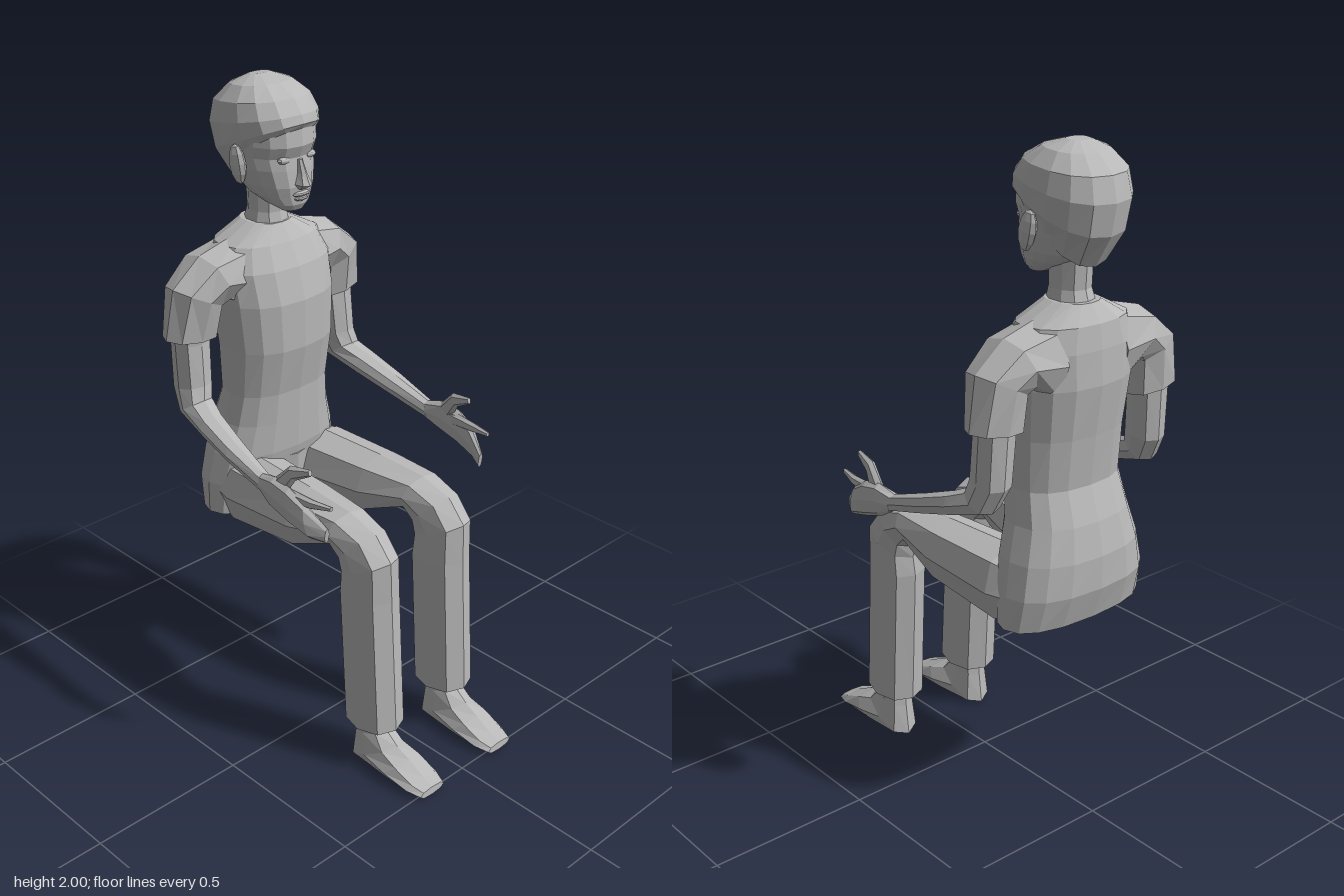
import * as THREE from 'three';

const grey = new THREE.MeshStandardMaterial({ color: 0xb8b8b8, flatShading: true });
grey.name = 'plain grey';

// Skin a closed surface over rings of points, wound outwards
function skin(name, rings) {
  const n = rings[0].length, pos = [], idx = [];
  rings.forEach(r => r.forEach(p => pos.push(p.x, p.y, p.z)));
  for (let i = 0; i < rings.length - 1; i++) {
    for (let j = 0; j < n; j++) {
      const a = i * n + j, b = i * n + (j + 1) % n;
      idx.push(a, b, b + n, a, b + n, a + n);
    }
  }
  const last = (rings.length - 1) * n;
  for (let j = 1; j < n - 1; j++) idx.push(0, j + 1, j, last, last + j, last + j + 1);
  const v = k => new THREE.Vector3().fromArray(pos, k * 3);
  let volume = 0;
  for (let i = 0; i < idx.length; i += 3) volume += v(idx[i]).dot(v(idx[i + 1]).cross(v(idx[i + 2])));
  if (volume < 0) idx.reverse();
  const g = new THREE.BufferGeometry();
  g.setAttribute('position', new THREE.Float32BufferAttribute(pos, 3));
  g.setIndex(idx);
  g.computeVertexNormals();
  const mesh = new THREE.Mesh(g, grey);
  mesh.name = name;
  return mesh;
}

// Rounded ring between edge points p and q, with half width vector w
function ring(p, q, w, sides, power) {
  const c = p.clone().add(q).multiplyScalar(0.5), u = p.clone().sub(c);
  const round = t => Math.sign(t) * Math.pow(Math.abs(t) < 1e-9 ? 0 : Math.abs(t), power);
  return Array.from({ length: sides }, (_, i) => {
    const a = i / sides * Math.PI * 2;
    return c.clone().addScaledVector(u, round(Math.cos(a))).addScaledVector(w, round(Math.sin(a)));
  });
}

const V = (x, y, z) => new THREE.Vector3(x, y, z);

// Sections: [x, halfWidth, yFront, zFront, yBack, zBack]
function loft(name, sections, side = 1, sides = 8, power = 0.85) {
  return skin(name, sections.map(([x, w, yf, zf, yb, zb]) =>
    ring(V(x * side, yf, zf), V(x * side, yb, zb), V(w, 0, 0), sides, power)));
}

// Level sections: [y, halfWidth, zFront, zBack]
function stack(name, levels, sides, power) {
  return loft(name, levels.map(([y, w, f, b]) => [0, w, y, f, y, b]), 1, sides, power);
}

function blob(name, at, size, tilt = 0) {
  const m = new THREE.Mesh(new THREE.SphereGeometry(1, 8, 6), grey);
  m.name = name;
  m.position.set(...at);
  m.scale.set(...size);
  m.rotation.x = tilt;
  return m;
}

export function createModel() {
  const model = new THREE.Group();
  model.name = 'seatedFigure';

  // Shirt body and neck
  model.add(stack('shirt', [
    [0.65, 0.25, -0.27, -0.48], [0.75, 0.245, -0.25, -0.51], [0.85, 0.225, -0.23, -0.51],
    [0.95, 0.195, -0.225, -0.49], [1.05, 0.18, -0.22, -0.455], [1.2, 0.183, -0.19, -0.47],
    [1.35, 0.195, -0.19, -0.49], [1.45, 0.2, -0.215, -0.485], [1.52, 0.17, -0.25, -0.475],
    [1.57, 0.07, -0.285, -0.44]], 16, 0.85));
  model.add(stack('neck', [
    [1.53, 0.07, -0.28, -0.44], [1.6, 0.054, -0.295, -0.415], [1.7, 0.054, -0.29, -0.42]], 10, 0.9));
  // Crotch between the thighs
  model.add(stack('crotch', [
    [0.63, 0.07, -0.27, -0.42], [0.7, 0.1, -0.24, -0.44], [0.82, 0.15, -0.23, -0.45]], 8, 0.9));

  // Head, face and hair
  const head = new THREE.Group();
  head.name = 'head';
  head.add(stack('face', [
    [1.625, 0.035, -0.215, -0.27], [1.645, 0.062, -0.203, -0.33], [1.67, 0.083, -0.2, -0.39],
    [1.7, 0.097, -0.195, -0.43], [1.75, 0.11, -0.2, -0.455], [1.785, 0.115, -0.205, -0.48],
    [1.82, 0.12, -0.19, -0.49], [1.87, 0.12, -0.195, -0.49], [1.92, 0.1, -0.23, -0.48]], 16, 0.88));
  head.add(loft('hair', [
    [0, 0.1, 1.87, -0.195, 1.67, -0.45], [0, 0.132, 1.885, -0.184, 1.76, -0.505],
    [0, 0.14, 1.91, -0.192, 1.85, -0.522], [0, 0.128, 1.95, -0.225, 1.92, -0.505],
    [0, 0.09, 1.983, -0.285, 1.97, -0.45], [0, 0.035, 2, -0.35, 1.995, -0.4]], 1, 14, 0.85));
  head.add(loft('nose', [
    [0, 0.009, 1.78, -0.195, 1.78, -0.24], [0, 0.014, 1.74, -0.178, 1.74, -0.24],
    [0, 0.024, 1.708, -0.163, 1.708, -0.24], [0, 0.016, 1.694, -0.185, 1.694, -0.24]]));
  head.add(blob('upperLip', [0, 1.678, -0.2], [0.032, 0.008, 0.014]));
  head.add(blob('lowerLip', [0, 1.664, -0.203], [0.025, 0.008, 0.014]));
  model.add(head);

  for (const side of [1, -1]) {
    const s = side > 0 ? 'left' : 'right';
    head.add(blob(s + 'Eye', [side * 0.05, 1.782, -0.218], [0.023, 0.011, 0.013]));
    head.add(blob(s + 'Ear', [side * 0.13, 1.765, -0.325], [0.018, 0.058, 0.032], -0.2));

    // Sleeve: [xOuter, yOuter, xInner, yInner, zCentre, halfDepth]
    model.add(skin(s + 'Sleeve', [
      [0.1, 1.545, 0.12, 1.3, -0.365, 0.11], [0.25, 1.505, 0.19, 1.36, -0.37, 0.1],
      [0.35, 1.425, 0.2, 1.35, -0.372, 0.083], [0.378, 1.27, 0.205, 1.25, -0.38, 0.062],
    ].map(([xo, yo, xi, yi, z, d]) =>
      ring(V(side * xo, yo, z), V(side * xi, yi, z), V(0, 0, d), 8, 0.85))));

    // Arm and hand
    model.add(loft(s + 'Arm', [
      [0.29, 0.06, 1.35, -0.32, 1.35, -0.44], [0.29, 0.056, 1.25, -0.325, 1.25, -0.435],
      [0.295, 0.053, 1.12, -0.315, 1.1, -0.428], [0.305, 0.05, 1.08, -0.305, 1.025, -0.39],
      [0.32, 0.045, 1.055, -0.25, 0.985, -0.26], [0.333, 0.038, 1.015, -0.14, 0.95, -0.13],
      [0.342, 0.024, 0.967, 0, 0.912, 0.01]], side));
    model.add(loft(s + 'Palm', [
      [0.342, 0.024, 0.967, -0.005, 0.912, 0.005], [0.35, 0.024, 0.985, 0.06, 0.885, 0.05],
      [0.352, 0.021, 0.975, 0.12, 0.86, 0.13], [0.345, 0.018, 0.94, 0.18, 0.84, 0.2],
      [0.322, 0.009, 0.88, 0.245, 0.832, 0.24]], side));
    model.add(loft(s + 'IndexFinger', [
      [0.345, 0.014, 0.968, 0.1, 0.92, 0.1], [0.337, 0.012, 0.962, 0.2, 0.932, 0.2],
      [0.325, 0.007, 0.96, 0.265, 0.946, 0.265]], side, 6));
    model.add(loft(s + 'Thumb', [
      [0.345, 0.015, 0.975, 0.05, 0.945, 0.1], [0.336, 0.014, 1.035, 0.11, 0.995, 0.13],
      [0.328, 0.007, 1.046, 0.18, 1.026, 0.185]], side, 6));

    // Trouser leg, from hip over the knee to the cuff
    model.add(loft(s + 'TrouserLeg', [
      [0.12, 0.1, 0.82, -0.4, 0.65, -0.42], [0.135, 0.113, 0.845, -0.28, 0.615, -0.3],
      [0.148, 0.1, 0.842, -0.02, 0.65, -0.02], [0.155, 0.078, 0.832, 0.16, 0.725, 0.13],
      [0.155, 0.073, 0.8, 0.27, 0.69, 0.155], [0.155, 0.073, 0.73, 0.332, 0.65, 0.16],
      [0.153, 0.075, 0.6, 0.336, 0.59, 0.153], [0.153, 0.076, 0.15, 0.362, 0.142, 0.178]], side));

    // Bare foot
    model.add(loft(s + 'Foot', [
      [0.155, 0.045, 0.2, 0.31, 0.2, 0.22], [0.155, 0.048, 0.13, 0.325, 0.1, 0.212],
      [0.155, 0.06, 0.095, 0.37, 0, 0.2], [0.153, 0.07, 0.072, 0.42, 0, 0.34],
      [0.152, 0.066, 0.04, 0.48, 0, 0.46], [0.152, 0.05, 0.025, 0.515, 0, 0.518]], side));
  }
  return model;
}
